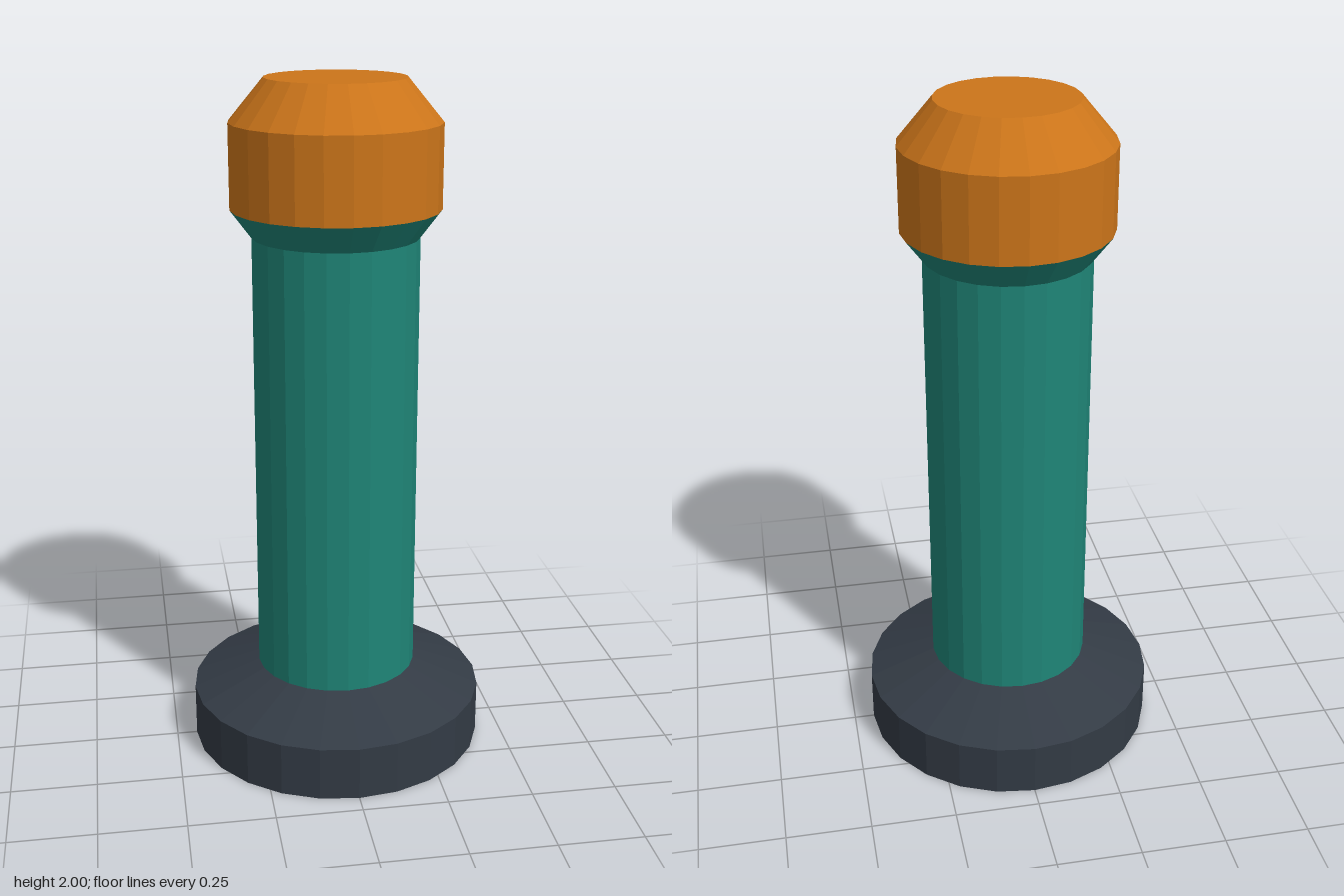
import * as THREE from 'three';

const SIDES = 24;

// Turned part from a [radius, height] profile listed from bottom to top
function turned(name, color, profile) {
  const points = profile.map(([r, y]) => new THREE.Vector2(r, y));
  const material = new THREE.MeshStandardMaterial({ color, flatShading: true });
  const mesh = new THREE.Mesh(new THREE.LatheGeometry(points, SIDES), material);
  mesh.name = name;
  return mesh;
}

export function createModel() {
  const model = new THREE.Group();
  model.name = 'bollard';
  model.add(
    // Foot disc with a sloped shoulder up to the column
    turned('base', 0x333b45, [[0, 0], [0.44, 0], [0.44, 0.16], [0.24, 0.24]]),
    // Straight column with a collar flaring out under the cap
    turned('column', 0x1f8577, [[0.24, 0.24], [0.24, 1.56], [0.3, 1.64]]),
    // Cap with a chamfered, flat top
    turned('cap', 0xcc751a, [[0.3, 1.64], [0.3, 1.88], [0.2, 2], [0, 2]])
  );
  return model;
}
